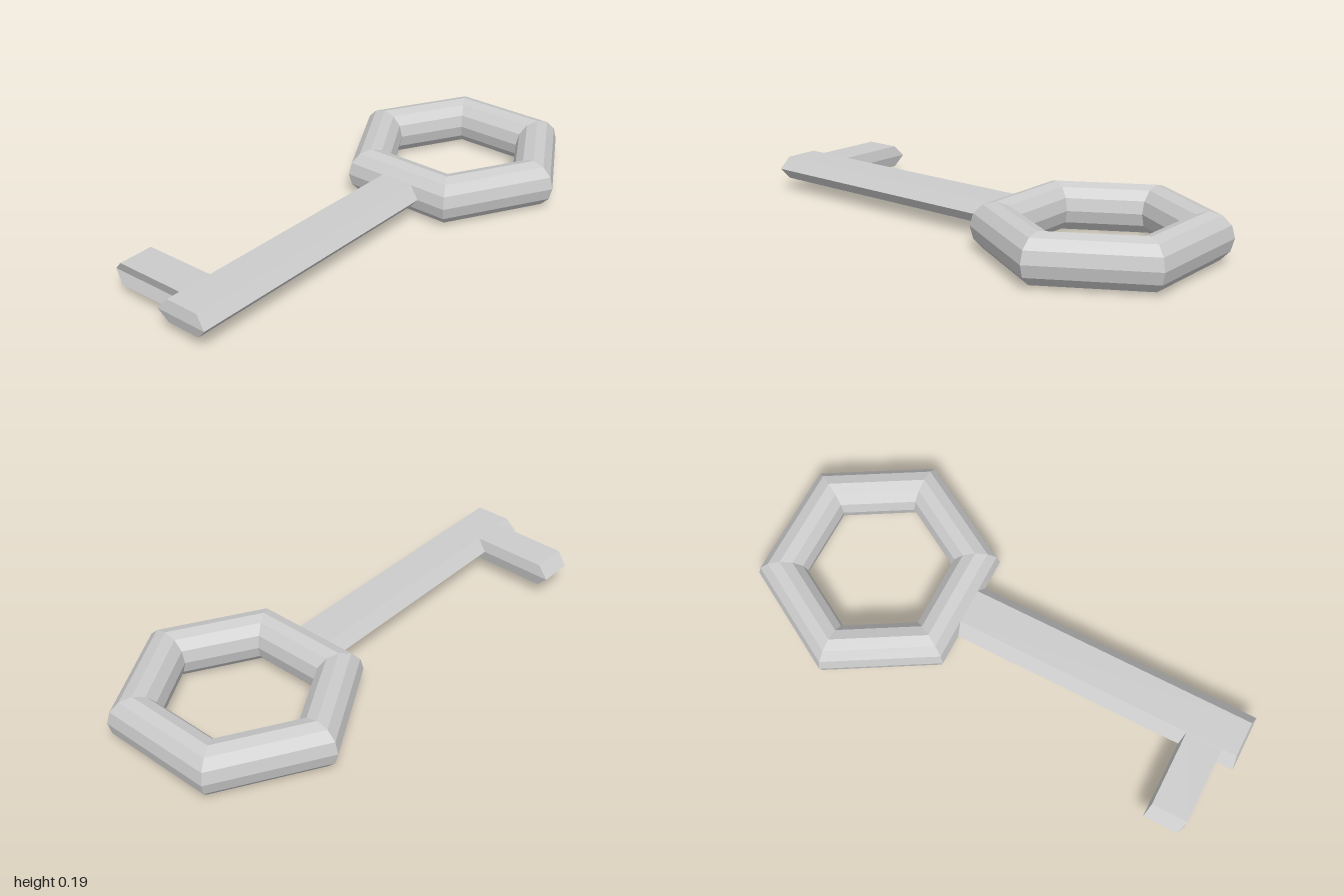
import * as THREE from 'three';

const material = new THREE.MeshStandardMaterial({ color: 0xcccccc, flatShading: true });

function part(name, geometry) {
  const mesh = new THREE.Mesh(geometry, material);
  mesh.name = name;
  return mesh;
}

// Solid between two six-cornered loops; each end is split along the 0-3 midline.
function loft(a, b) {
  const pos = [];
  const quad = (p, q, r, s) => [p, q, r, p, r, s].forEach((v) => pos.push(...v));
  for (let i = 0; i < 6; i++) {
    const j = (i + 1) % 6;
    quad(a[i], b[i], b[j], a[j]);
  }
  quad(a[0], a[1], a[2], a[3]);
  quad(a[0], a[3], a[4], a[5]);
  quad(b[3], b[2], b[1], b[0]);
  quad(b[5], b[4], b[3], b[0]);
  const geometry = new THREE.BufferGeometry();
  geometry.setAttribute('position', new THREE.Float32BufferAttribute(pos, 3));
  geometry.computeVertexNormals();
  return geometry;
}

export function createModel() {
  const key = new THREE.Group();
  key.name = 'key';

  // Six-sided ring handle
  const ring = new THREE.TorusGeometry(0.383, 0.097, 12, 6);
  ring.rotateX(Math.PI / 2);
  ring.translate(0, 0.097, -0.585);
  key.add(part('ringHandle', ring));

  // Shank with a flattened hexagonal section and a slightly pointed end
  const hex = [[-0.114, 0.097], [-0.072, 0.145], [0.072, 0.145], [0.114, 0.097], [0.072, 0.05], [-0.072, 0.05]];
  const shankLoop = (mid, edge) => hex.map(([x, y], i) => [x, y, i % 3 === 0 ? mid : edge]);
  key.add(part('shank', loft(shankLoop(-0.22, -0.22), shankLoop(1, 0.99))));

  // Bit: ridged at the back and tip, grooved along the front
  const section = [[0.775, 0], [0.785, 0.046], [0.93, 0.046], [0.915, 0], [0.93, -0.046], [0.785, -0.046]];
  const bitLoop = (mid, edge, y0) => section.map(([z, y], i) => [i % 3 === 0 ? mid : edge, y0 + y, z]);
  key.add(part('bit', loft(bitLoop(-0.1, -0.06, 0.097), bitLoop(-0.425, -0.38, 0.093))));

  return key;
}
